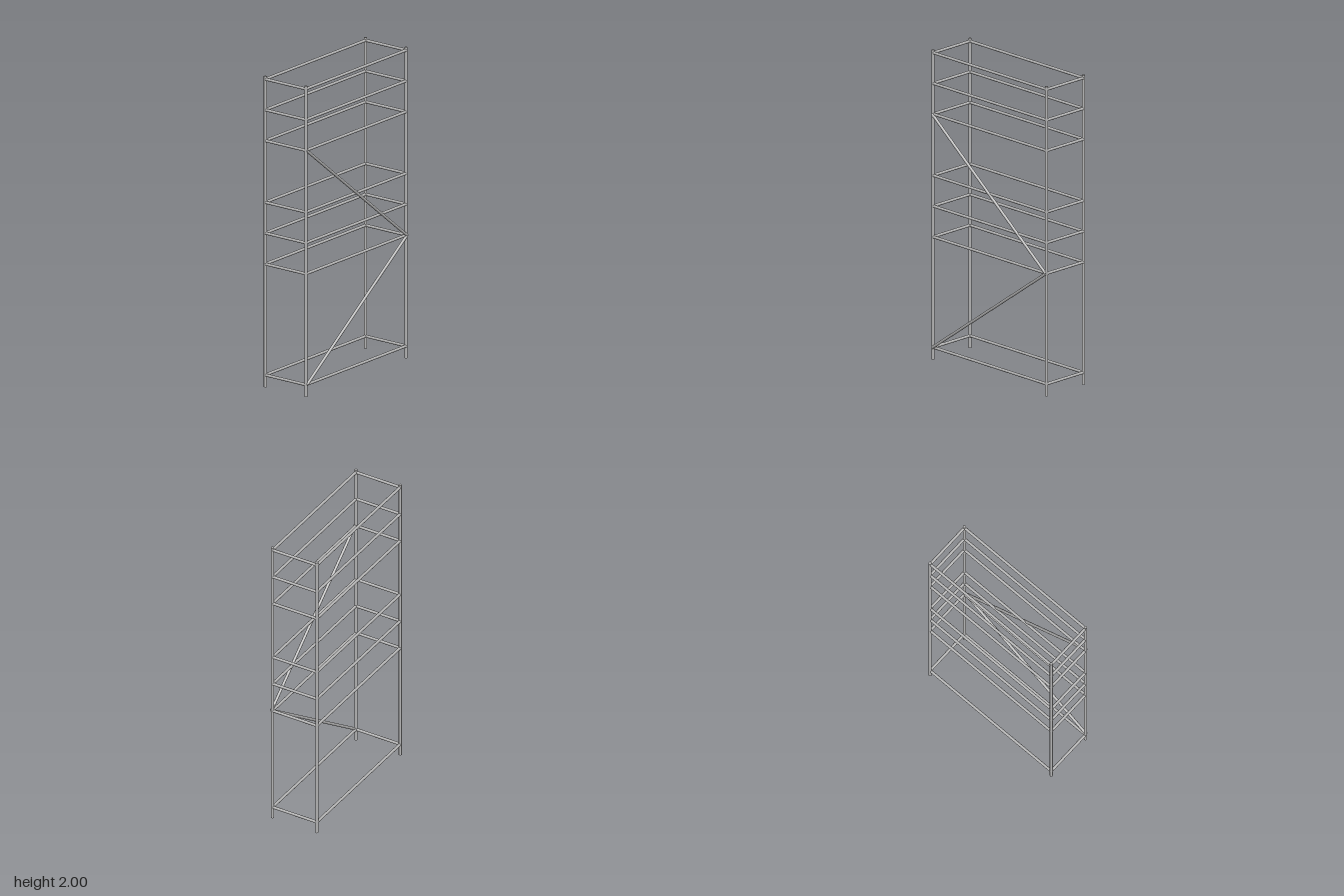
import * as THREE from 'three';

const HALF_W = 0.495;   // post centre in x
const BACK = -0.1624, FRONT = 0.1544, BRACE_Z = 0.1614;
const POST_R = 0.0095, RAIL_R = 0.009;
const LEVELS = [0.077, 0.791, 0.99, 1.188, 1.585, 1.783, 1.981];

export function createModel() {
  const group = new THREE.Group();
  const steel = new THREE.MeshStandardMaterial({ color: 0xb4b4b4 });
  steel.name = 'steel grey';

  // straight round tube between two points
  function tube(name, radius, a, b) {
    const start = new THREE.Vector3(...a), end = new THREE.Vector3(...b);
    const dir = end.clone().sub(start);
    const mesh = new THREE.Mesh(new THREE.CylinderGeometry(radius, radius, dir.length(), 20), steel);
    mesh.name = name;
    mesh.position.copy(start).add(end).multiplyScalar(0.5);
    mesh.quaternion.setFromUnitVectors(new THREE.Vector3(0, 1, 0), dir.normalize());
    group.add(mesh);
  }

  // upright posts
  for (const x of [-HALF_W, HALF_W])
    for (const z of [BACK, FRONT]) tube('post', POST_R, [x, 0, z], [x, 2, z]);

  // horizontal frames: long rails and short end rails at each level
  for (const y of LEVELS) {
    for (const z of [BACK, FRONT]) tube('longRail', RAIL_R, [-HALF_W, y, z], [HALF_W, y, z]);
    for (const x of [-HALF_W, HALF_W]) tube('endRail', RAIL_R, [x, y, BACK], [x, y, FRONT]);
  }

  // zigzag braces on the front face
  tube('lowerBrace', RAIL_R, [-HALF_W, LEVELS[0], BRACE_Z], [HALF_W, LEVELS[1], BRACE_Z]);
  tube('upperBrace', RAIL_R, [HALF_W, LEVELS[1], BRACE_Z], [-HALF_W, LEVELS[4], BRACE_Z]);

  return group;
}
